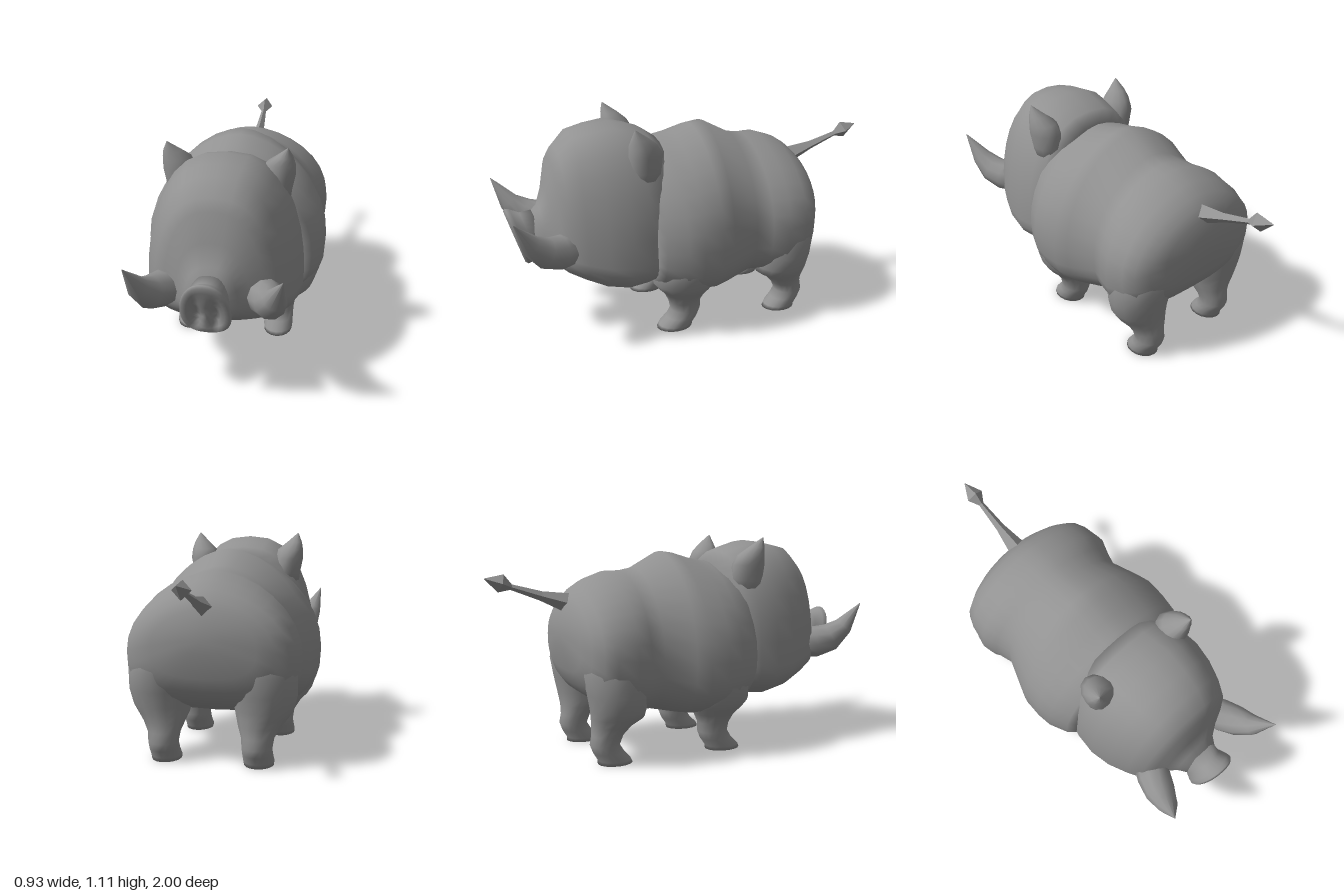
import * as THREE from 'three';

const material = new THREE.MeshStandardMaterial({ color: 0x929292 });
const flatMaterial = new THREE.MeshStandardMaterial({ color: 0x929292, flatShading: true });

// Skin a list of rings (counter-clockwise seen from the end) and close both ends.
// side = -1 mirrors the shape across x.
function loft(rings, side = 1) {
  const n = rings[0].length, pos = [], idx = [];
  for (const ring of rings) {
    const pts = side < 0 ? [...ring].reverse() : ring;
    for (const p of pts) pos.push(p.x * side, p.y, p.z);
  }
  for (let i = 0; i < rings.length - 1; i++) {
    for (let j = 0; j < n; j++) {
      const k = (j + 1) % n;
      const a = i * n + j, b = i * n + k, c = b + n, d = a + n;
      idx.push(a, b, c, a, c, d);
    }
  }
  for (const i of [0, rings.length - 1]) {
    const mid = new THREE.Vector3();
    rings[i].forEach(p => mid.add(p));
    mid.divideScalar(n);
    const m = pos.length / 3;
    pos.push(mid.x * side, mid.y, mid.z);
    for (let j = 0; j < n; j++) {
      const a = i * n + j, b = i * n + (j + 1) % n;
      if (i === 0) idx.push(m, b, a); else idx.push(m, a, b);
    }
  }
  const g = new THREE.BufferGeometry();
  g.setAttribute('position', new THREE.Float32BufferAttribute(pos, 3));
  g.setIndex(idx);
  g.computeVertexNormals();
  return g;
}

const power = (v, e) => Math.sign(v) * Math.abs(v) ** e;
const makeRing = (n, fn) => Array.from({ length: n }, (_, i) => {
  const a = i / n * Math.PI * 2;
  return fn(Math.cos(a), Math.sin(a));
});

// Upright oval section: half width, bottom, widest height and top, with squareness above and below
const oval = ([z, w, bottom, mid, top], eTop, eLow) => makeRing(32, (c, s) =>
  new THREE.Vector3(
    w * power(c, s > 0 ? eTop : eLow),
    mid + (s > 0 ? (top - mid) * s : (mid - bottom) * power(s, eLow)), z));

// Level section used by the legs and ears; scoop flattens its front half
const level = ([y, x, z, rx, rz], n, scoop = 1) => makeRing(n, (c, s) =>
  new THREE.Vector3(x + rx * s, y, z + rz * c * (c > 0 ? scoop : 1)));

// Tapered tube through points [x, y, z, radius]
function taper(points, n, side = 1) {
  const p = points.map(q => new THREE.Vector3(q[0], q[1], q[2]));
  return loft(p.map((o, i) => {
    const t = p[Math.min(i + 1, p.length - 1)].clone().sub(p[Math.max(i - 1, 0)]).normalize();
    const v = t.clone().cross(new THREE.Vector3(1, 0, 0)).normalize();
    const u = v.clone().cross(t);
    const r = points[i][3];
    return makeRing(n, (c, s) => o.clone().addScaledVector(u, c * r).addScaledVector(v, s * r));
  }), side);
}

export function createModel() {
  const model = new THREE.Group();
  const add = (name, geometry, mat = material) => {
    const mesh = new THREE.Mesh(geometry, mat);
    mesh.name = name;
    model.add(mesh);
  };

  // Barrel body with a shoulder hump and a waist, rump to neck
  add('body', loft([
    [-0.63, 0.11, 0.57, 0.63, 0.70],
    [-0.61, 0.26, 0.45, 0.60, 0.78],
    [-0.58, 0.335, 0.38, 0.58, 0.83],
    [-0.54, 0.40, 0.33, 0.56, 0.87],
    [-0.48, 0.425, 0.29, 0.55, 0.91],
    [-0.38, 0.44, 0.25, 0.54, 0.945],
    [-0.30, 0.41, 0.23, 0.53, 0.945],
    [-0.22, 0.385, 0.23, 0.53, 0.96],
    [-0.07, 0.44, 0.20, 0.50, 1.04],
    [0.00, 0.465, 0.19, 0.50, 1.03],
    [0.10, 0.467, 0.195, 0.50, 1.00],
    [0.18, 0.457, 0.21, 0.50, 0.985],
    [0.28, 0.412, 0.25, 0.50, 0.975],
    [0.315, 0.375, 0.28, 0.50, 0.92],
  ].map(r => oval(r, 1.17, 0.7))));

  // Heavy-jawed head narrowing steeply to the muzzle
  add('head', loft([
    [0.20, 0.31, 0.32, 0.48, 0.985],
    [0.27, 0.365, 0.27, 0.46, 1.035],
    [0.34, 0.38, 0.255, 0.45, 1.06],
    [0.44, 0.385, 0.245, 0.44, 1.09],
    [0.55, 0.365, 0.27, 0.45, 1.077],
    [0.65, 0.325, 0.32, 0.47, 1.055],
    [0.72, 0.29, 0.36, 0.49, 0.98],
    [0.755, 0.235, 0.385, 0.50, 0.93],
    [0.785, 0.175, 0.40, 0.51, 0.79],
    [0.82, 0.125, 0.41, 0.51, 0.69],
    [0.87, 0.092, 0.42, 0.52, 0.645],
  ].map(r => oval(r, 0.78, 0.85))));

  // Snout: flared rim, then a face of shrinking rings pressed in at the nostrils
  const snoutRing = ([z, k, dent]) => {
    const ring = oval([z, 0.116 * k, 0.53 - 0.13 * k, 0.52, 0.53 + 0.16 * k], 0.9, 0.8);
    for (const p of ring) {
      const nostril = Math.exp(-(((Math.abs(p.x) - 0.045) / 0.022) ** 2) - ((p.y - 0.50) / 0.08) ** 2);
      p.z += (p.y - 0.55) * 0.3 - dent * nostril;
    }
    return ring;
  };
  add('snout', loft([
    [0.82, 0.86, 0], [0.88, 0.82, 0], [0.92, 0.96, 0], [0.94, 1, 0], [0.952, 0.93, 0],
    [0.952, 0.75, 0.03], [0.952, 0.57, 0.04], [0.952, 0.4, 0.04], [0.952, 0.2, 0.04],
  ].map(snoutRing)));

  for (const [label, side] of [['left', 1], ['right', -1]]) {
    // Legs widen from a forward-pointing foot and melt into the shoulder or haunch
    add(label + 'FrontLeg', loft([
      [0, 0.238, 0.185, 0.074, 0.095],
      [0.02, 0.238, 0.18, 0.077, 0.092],
      [0.06, 0.238, 0.145, 0.076, 0.085],
      [0.10, 0.238, 0.125, 0.076, 0.08],
      [0.15, 0.238, 0.13, 0.083, 0.085],
      [0.20, 0.244, 0.13, 0.108, 0.108],
      [0.24, 0.256, 0.135, 0.134, 0.14],
      [0.28, 0.264, 0.14, 0.152, 0.165],
      [0.36, 0.28, 0.13, 0.164, 0.17],
      [0.46, 0.28, 0.12, 0.165, 0.16],
      [0.62, 0.25, 0.11, 0.14, 0.13],
    ].map(r => level(r, 16)), side));
    add(label + 'BackLeg', loft([
      [0, 0.238, -0.43, 0.074, 0.09],
      [0.02, 0.238, -0.435, 0.077, 0.085],
      [0.06, 0.238, -0.465, 0.076, 0.08],
      [0.10, 0.238, -0.485, 0.076, 0.075],
      [0.15, 0.238, -0.47, 0.083, 0.08],
      [0.20, 0.242, -0.448, 0.106, 0.102],
      [0.24, 0.252, -0.42, 0.13, 0.135],
      [0.28, 0.26, -0.42, 0.146, 0.14],
      [0.36, 0.265, -0.425, 0.162, 0.15],
      [0.46, 0.26, -0.43, 0.166, 0.165],
      [0.62, 0.24, -0.42, 0.155, 0.16],
    ].map(r => level(r, 16)), side));

    // Broad-based pointed ear growing out of the head, scooped at the front
    add(label + 'Ear', loft([
      [0.82, 0.23, 0.34, 0.07, 0.08],
      [0.89, 0.235, 0.34, 0.074, 0.095],
      [0.97, 0.246, 0.34, 0.079, 0.10],
      [1.02, 0.252, 0.35, 0.071, 0.08],
      [1.06, 0.272, 0.367, 0.042, 0.05],
      [1.11, 0.288, 0.39, 0.003, 0.003],
    ].map(r => level(r, 12, 0.75)), side));

    // Stout tusk sweeping out, forward and up
    add(label + 'Tusk', taper([
      [0.205, 0.53, 0.68, 0.08],
      [0.245, 0.53, 0.77, 0.086],
      [0.278, 0.555, 0.85, 0.077],
      [0.303, 0.615, 0.92, 0.053],
      [0.345, 0.743, 0.998, 0.002],
    ], 10, side));
  }

  // Thin faceted tail with a diamond tuft
  add('tail', taper([
    [0, 0.785, -0.57, 0.052],
    [0, 0.83, -0.72, 0.024],
    [0, 0.88, -0.87, 0.014],
    [0, 0.90, -0.92, 0.046],
    [0, 0.925, -1.0, 0.002],
  ], 4), flatMaterial);

  return model;
}
